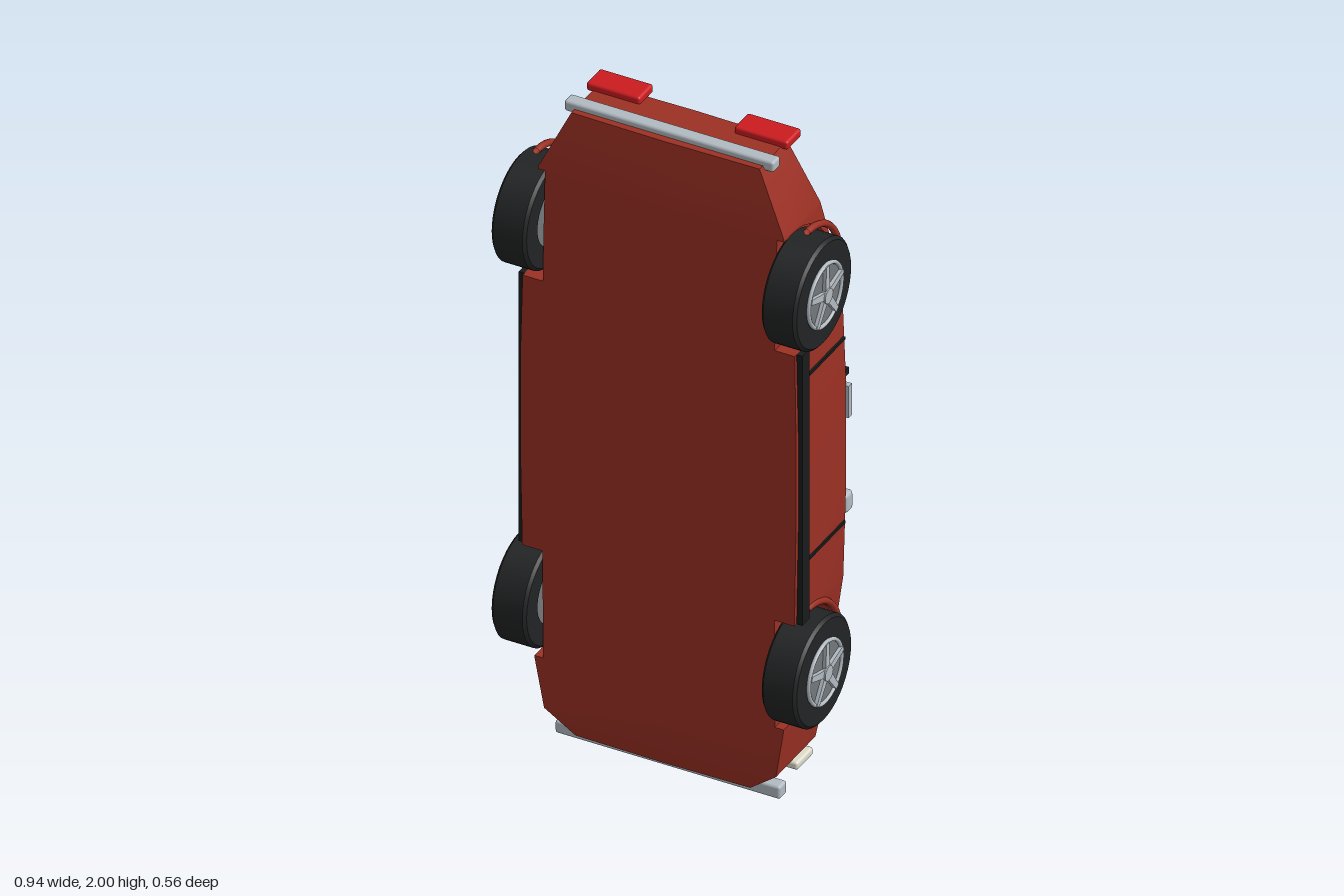
import * as THREE from 'three';
import { toCreasedNormals } from 'three/addons/utils/BufferGeometryUtils.js';
import { RoundedBoxGeometry } from 'three/addons/geometries/RoundedBoxGeometry.js';

const mat = (name, color, side = THREE.FrontSide) => {
  const m = new THREE.MeshStandardMaterial({ color, side });
  m.name = name;
  return m;
};

const WHEEL_Y = [0.43, 1.62], WHEEL_Z = 0.125, ARCH = 0.17;

// Body stations along its length: y, half width, underside z, shoulder z, crown z
const STATIONS = [
  [0.03, 0.26, 0.172, 0.015, 0.0],
  [0.10, 0.345, 0.188, -0.03, -0.045],
  [0.25, 0.37, 0.193, -0.05, -0.07],
  [0.43, 0.385, 0.195, -0.064, -0.088],
  [0.60, 0.405, 0.197, -0.073, -0.102],
  [0.90, 0.41, 0.198, -0.08, -0.118],
  [1.20, 0.41, 0.198, -0.08, -0.113],
  [1.45, 0.405, 0.195, -0.071, -0.095],
  [1.62, 0.39, 0.19, -0.056, -0.07],
  [1.80, 0.365, 0.182, -0.02, -0.036],
  [1.98, 0.28, 0.158, 0.005, -0.005],
];

function station(y) {
  let i = 0;
  while (i < STATIONS.length - 2 && y > STATIONS[i + 1][0]) i++;
  const a = STATIONS[i], b = STATIONS[i + 1], t = (y - a[0]) / (b[0] - a[0]);
  return a.map((v, k) => v + (b[k] - v) * t);
}

// Closed cross-section; the arch height lifts the lower outer corner over a wheel
function section(y, arch) {
  const [, w, zb, zs, zt] = station(y);
  const inner = Math.min(w, 0.345);
  const za = arch === null ? zb : Math.max(arch, zs + 0.006);
  const half = [[0, zb + 0.004], [inner, zb], [inner, za], [w, za], [w, zs],
    [w * 0.6, zs + (zt - zs) * 0.75], [0, zt]];
  const other = half.slice(1, -1).reverse().map(([x, z]) => [-x, z]);
  return [...half, ...other].map(([x, z]) => [x, y, z]);
}

function bodyGeometry() {
  const rows = STATIONS.filter(s => WHEEL_Y.every(c => Math.abs(s[0] - c) > ARCH))
    .map(s => [s[0], null]);
  for (const c of WHEEL_Y) {
    rows.push([c - ARCH, null]);
    for (let i = 0; i <= 12; i++) {
      const a = Math.PI * i / 12;
      rows.push([c - ARCH * Math.cos(a), WHEEL_Z - ARCH * Math.sin(a)]);
    }
    rows.push([c + ARCH, null]);
  }
  rows.sort((a, b) => Math.abs(a[0] - b[0]) < 1e-6 ? 0 : a[0] - b[0]);
  const rings = rows.map(r => section(...r)), n = rings[0].length, pos = [];
  const tri = (a, b, c) => pos.push(...a, ...b, ...c);
  for (let i = 0; i < rings.length - 1; i++) {
    for (let j = 0; j < n; j++) {
      const k = (j + 1) % n, p = rings[i], q = rings[i + 1];
      tri(p[j], p[k], q[k]);
      tri(p[j], q[k], q[j]);
    }
  }
  // Nose and tail panels
  const first = rings[0], last = rings[rings.length - 1];
  for (let j = 0; j < n; j++) {
    const k = (j + 1) % n;
    tri([0, first[0][1], 0.09], first[k], first[j]);
    tri([0, last[0][1], 0.09], last[j], last[k]);
  }
  const g = new THREE.BufferGeometry();
  g.setAttribute('position', new THREE.Float32BufferAttribute(pos, 3));
  return toCreasedNormals(g, 0.35);
}

export function createModel() {
  const red = mat('body red', 0x9c3024, THREE.DoubleSide);
  const black = mat('trim black', 0x1a1b1c);
  const rubber = mat('tyre black', 0x222324);
  const chrome = mat('chrome', 0xb2bbc2);
  const rimGrey = mat('rim grey', 0x74787b);
  const tailRed = mat('tail light red', 0xcc1c20);
  const cream = mat('headlight cream', 0xdedccb);

  const model = new THREE.Group();
  model.name = 'car';
  const add = (name, geo, material, x = 0, y = 0, z = 0, parent = model) => {
    const m = new THREE.Mesh(geo, material);
    m.name = name;
    m.position.set(x, y, z);
    parent.add(m);
    return m;
  };
  // Boxes given by their limits on each axis
  const box = (name, material, x0, x1, y0, y1, z0, z1, r = 0) => {
    const s = [x1 - x0, y1 - y0, z1 - z0];
    const g = r ? new RoundedBoxGeometry(...s, 2, r) : new THREE.BoxGeometry(...s);
    return add(name, g, material, (x0 + x1) / 2, (y0 + y1) / 2, (z0 + z1) / 2);
  };
  const pair = (name, material, x0, x1, ...rest) => {
    box(name + 'Left', material, x0, x1, ...rest);
    box(name + 'Right', material, -x1, -x0, ...rest);
  };

  add('body', bodyGeometry(), red);

  // Roof and its cross bars
  box('roofPanel', red, -0.25, 0.25, 0.765, 1.14, -0.28, -0.265, 0.006);
  box('rearRoofBar', black, -0.33, 0.33, 1.115, 1.135, -0.243, -0.225);
  box('frontRoofBar', black, -0.33, 0.33, 0.735, 0.755, -0.203, -0.185);

  // Bumpers, lights and grille
  box('frontBumper', chrome, -0.335, 0.335, 0, 0.04, 0.107, 0.148, 0.008);
  box('rearBumper', chrome, -0.312, 0.312, 1.965, 1.998, 0.1, 0.14, 0.008);
  pair('tailLight', tailRed, 0.14, 0.3, 1.973, 2, -0.038, 0.04, 0.008);
  pair('headlight', cream, 0.2, 0.325, 0.02, 0.045, -0.058, 0.032, 0.008);
  box('grille', black, -0.25, 0.25, 0.025, 0.06, -0.045, 0.01);
  for (let i = -2; i <= 2; i++) {
    box('grilleSlat', rimGrey, i * 0.09 - 0.004, i * 0.09 + 0.004, 0.022, 0.032, 0, 0.1);
  }

  // Mirrors, handles, sills and door gaps
  pair('mirror', chrome, 0.312, 0.392, 0.762, 0.822, -0.156, -0.114, 0.012);
  pair('doorHandle', chrome, 0.403, 0.419, 1.1, 1.2, -0.094, -0.076);
  pair('sill', black, 0.4, 0.422, 0.6, 1.45, 0.145, 0.185);
  for (const y of [0.775, 1.355]) pair('doorGap', black, 0.405, 0.413, y - 0.004, y + 0.004, -0.07, 0.15);

  // Bonnet creases, bonnet scoop and boot gaps
  pair('bonnetCrease', black, 0.247, 0.253, 0.215, 0.45, -0.085, -0.075);
  box('bonnetScoop', red, -0.14, 0.14, 0.355, 0.41, -0.095, -0.06).rotation.x = -0.1;
  pair('bootGap', black, 0.12, 0.305, 1.656, 1.664, -0.068, -0.058);

  // Wheels, with the axle along x and the outer face at +x
  const tyreProfile = [[0.09, -0.052], [0.15, -0.052], [0.159, -0.044], [0.159, 0.044], [0.15, 0.052],
    [0.096, 0.052], [0.09, 0.04]].map(p => new THREE.Vector2(...p));
  const tyreGeo = toCreasedNormals(new THREE.LatheGeometry(tyreProfile, 40), 0.5).rotateZ(-Math.PI / 2);
  const discGeo = new THREE.CylinderGeometry(0.094, 0.094, 0.1, 32).rotateZ(-Math.PI / 2);
  const ringGeo = new THREE.TorusGeometry(0.091, 0.006, 8, 40).rotateY(Math.PI / 2);
  const hubGeo = new THREE.CylinderGeometry(0.022, 0.022, 0.026, 20).rotateZ(-Math.PI / 2);
  const spokeShape = new THREE.Shape([[-0.012, 0], [0.012, 0], [0.008, 0.092], [-0.008, 0.092]]
    .map(p => new THREE.Vector2(...p)));
  const spokeGeo = new THREE.ExtrudeGeometry(spokeShape, { depth: 0.014, bevelEnabled: false })
    .rotateY(Math.PI / 2);
  const flareGeo = new THREE.TorusGeometry(0.18, 0.01, 8, 32, Math.PI)
    .rotateZ(Math.PI / 2).rotateY(-Math.PI / 2);

  for (const side of [1, -1]) {
    for (const y of WHEEL_Y) {
      const wheel = new THREE.Group();
      wheel.name = (y < 1 ? 'front' : 'rear') + 'Wheel' + (side > 0 ? 'Left' : 'Right');
      wheel.position.set(side * 0.402, y, WHEEL_Z);
      if (side < 0) wheel.rotation.y = Math.PI;
      add('tyre', tyreGeo, rubber, 0, 0, 0, wheel);
      add('rimDisc', discGeo, rimGrey, 0.004, 0, 0, wheel);
      add('rimRing', ringGeo, chrome, 0.056, 0, 0, wheel);
      add('hub', hubGeo, chrome, 0.055, 0, 0, wheel);
      for (let i = 0; i < 5; i++) {
        add('spoke', spokeGeo, chrome, 0.05, 0, 0, wheel).rotation.x = i * Math.PI * 2 / 5;
      }
      model.add(wheel);
      // Flare around the upper half of the wheel, towards -z
      const flare = new THREE.Group();
      flare.name = 'wheelFlare';
      flare.position.set(side * 0.403, y, WHEEL_Z);
      const arc = new THREE.Mesh(flareGeo, red);
      // Turn the arc so that its middle points to -z
      flareGeo.computeBoundingBox();
      if (flareGeo.boundingBox.max.z > 0.1) arc.rotation.x = Math.PI;
      flare.add(arc);
      model.add(flare);
    }
  }
  return model;
}
